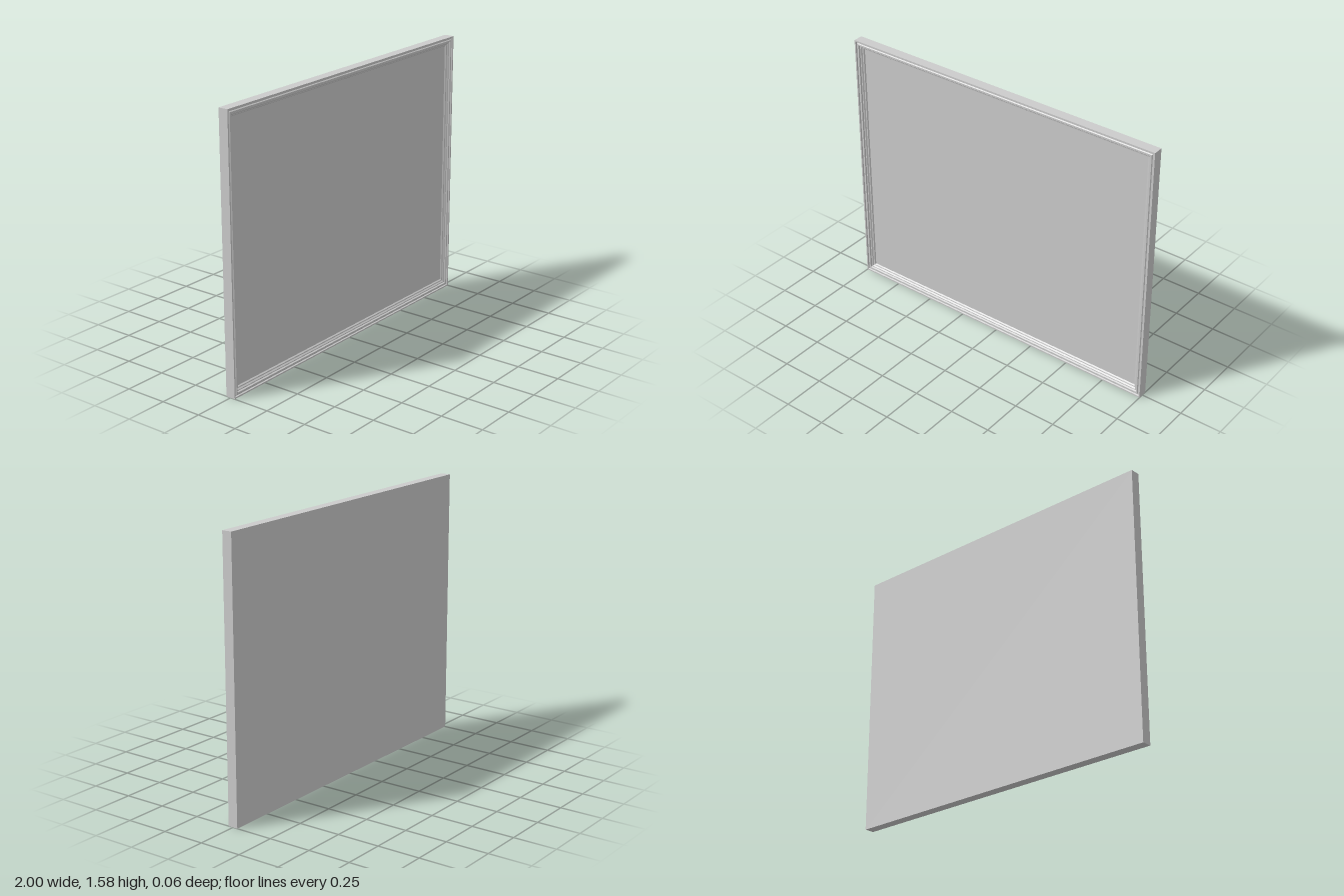
import * as THREE from 'three';

const W = 2, H = 1.58, D = 0.029;

// Moulding cross-section: [inset from the outer edge, z]
const PROFILE = [
  [0, -D], [0, D], [0.008, D], [0.011, 0.022], [0.016, 0.022], [0.02, 0.027],
  [0.027, 0.027], [0.031, 0.019], [0.036, 0.019], [0.042, 0.012], [0.048, 0.011], [0.053, 0.004],
];

// Sweep the cross-section around the rectangle with mitred corners
function mouldingGeometry() {
  const corners = [[-1, -1], [1, -1], [1, 1], [-1, 1]];
  const point = ([inset, z], k) => {
    const [sx, sy] = corners[k % 4];
    return [sx * (W / 2 - inset), H / 2 + sy * (H / 2 - inset), z];
  };
  const pos = [];
  for (let i = 0; i < PROFILE.length - 1; i++) {
    for (let k = 0; k < 4; k++) {
      const a = point(PROFILE[i], k), b = point(PROFILE[i], k + 1);
      const c = point(PROFILE[i + 1], k + 1), d = point(PROFILE[i + 1], k);
      pos.push(...a, ...b, ...c, ...a, ...c, ...d);
    }
  }
  const g = new THREE.BufferGeometry();
  g.setAttribute('position', new THREE.Float32BufferAttribute(pos, 3));
  g.computeVertexNormals();
  return g;
}

export function createModel() {
  const group = new THREE.Group();
  group.name = 'pictureFrame';
  const material = new THREE.MeshStandardMaterial({ color: 0xcccccc });
  const add = (name, geometry, y = 0, z = 0) => {
    const mesh = new THREE.Mesh(geometry, material);
    mesh.name = name;
    mesh.position.set(0, y, z);
    group.add(mesh);
    return mesh;
  };

  add('frameMoulding', mouldingGeometry());

  // Recessed picture panel fills the moulding's inner edge
  const [inset, panelZ] = PROFILE[PROFILE.length - 1];
  add('picturePanel', new THREE.PlaneGeometry(W - 2 * inset, H - 2 * inset), H / 2, panelZ);

  // Flat back closes the whole frame
  add('backBoard', new THREE.PlaneGeometry(W, H), H / 2, -D).rotation.y = Math.PI;

  return group;
}
